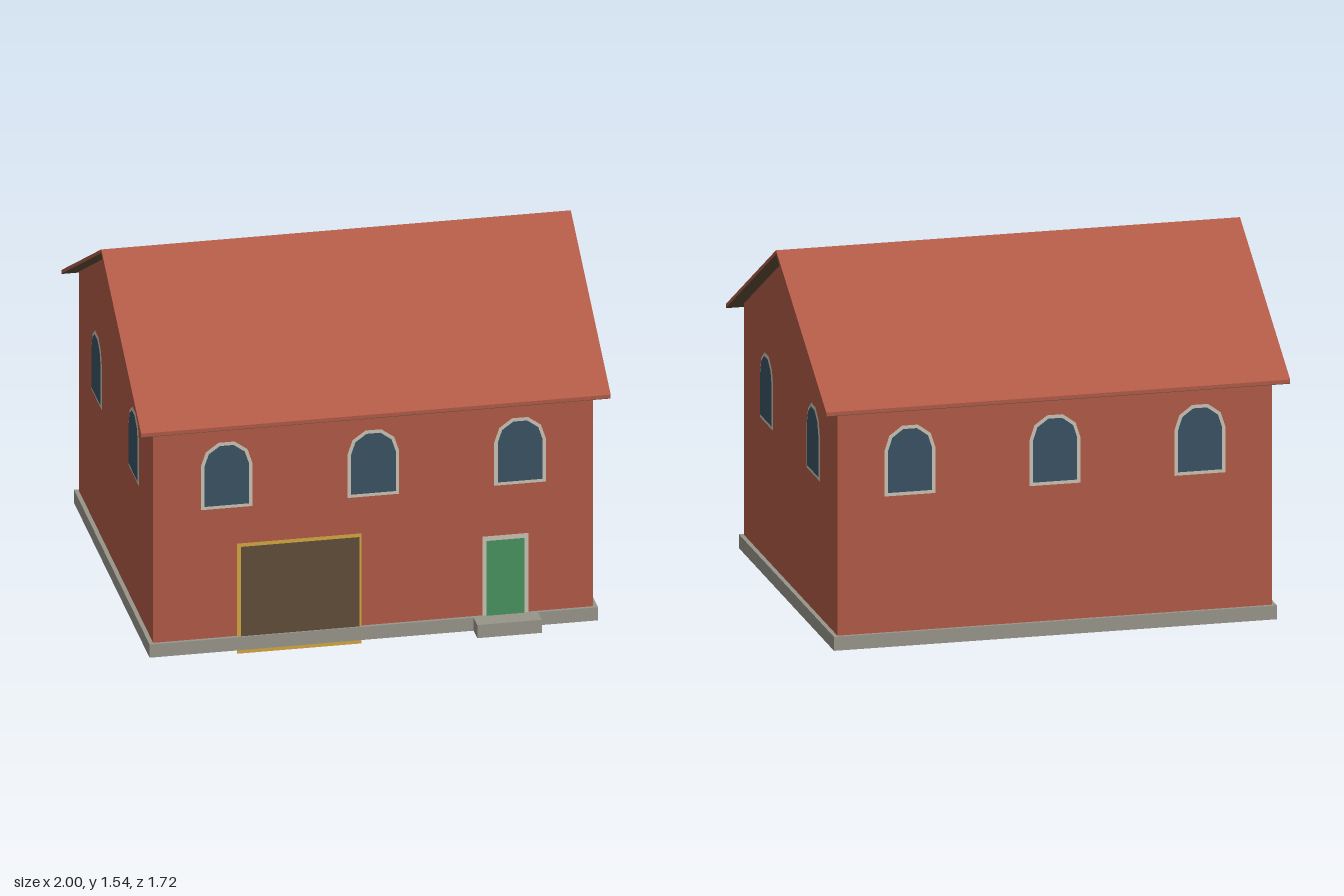
import * as THREE from 'three';

const mat = (name, color, side = THREE.FrontSide) => {
  const m = new THREE.MeshStandardMaterial({ color, side });
  m.name = name;
  return m;
};

export function createModel() {
  const red = mat('brick red', 0xb05a47);
  const brown = mat('dark brown', 0x604d38);
  const grey = mat('stone grey', 0x98948a, THREE.DoubleSide);
  const trim = mat('pale trim', 0xc8c2b2);
  const glass = mat('window glass', 0x395163);
  const gold = mat('golden frame', 0xd2a640, THREE.DoubleSide);
  const green = mat('door green', 0x48925f);

  const house = new THREE.Group();
  house.name = 'house';
  const Z0 = -0.0125; // centre line of the building under the ridge
  const HX = 0.937, HZ = 0.785; // half sizes of the walls

  const add = (name, geometry, material, parent = house) => {
    const m = new THREE.Mesh(geometry, material);
    m.name = name;
    parent.add(m);
    return m;
  };

  // Section given as [z, y] points, extruded along x
  const prism = (name, points, halfLength, material) => {
    const shape = new THREE.Shape(points.map(p => new THREE.Vector2(p[0], p[1])));
    const g = new THREE.ExtrudeGeometry(shape, { depth: 2 * halfLength, bevelEnabled: false });
    g.translate(0, 0, -halfLength).rotateY(-Math.PI / 2).translate(0, 0, Z0);
    return add(name, g, material);
  };

  // Box without its underside
  const openBox = (name, x0, x1, y0, y1, z0, z1) => {
    const g = new THREE.BoxGeometry(x1 - x0, y1 - y0, z1 - z0);
    const index = Array.from(g.index.array);
    index.splice(18, 6);
    g.setIndex(index);
    g.clearGroups();
    g.translate((x0 + x1) / 2, (y0 + y1) / 2, (z0 + z1) / 2);
    return add(name, g, grey);
  };

  // Walls with gables
  const eave = 0.843, apex = 1.523, low = 1.053;
  const wallTop = apex - (apex - low) * HZ / eave;
  prism('walls', [[-HZ, 0.081], [HZ, 0.081], [HZ, wallTop - 0.001], [0, apex - 0.001], [-HZ, wallTop - 0.001]], HX, red);

  // Roof slab and its dark lining
  const chevron = (a, b) => [[-eave, low + a], [0, apex + a], [eave, low + a], [eave, low + b], [0, apex + b], [-eave, low + b]];
  prism('roof', chevron(0.002, 0.018), 1, red);
  prism('roofLining', chevron(0, 0.002), 0.999, brown);

  // Plinth and door step
  openBox('plinth', -0.955, 0.955, 0.02, 0.08, Z0 - 0.798, Z0 + 0.798);
  openBox('doorStep', 0.425, 0.7, 0.02, 0.08, Z0 + 0.798, 0.863);

  // Flat panel in the plane of the front wall
  const panel = (name, x0, x1, y0, y1, lift, material) => {
    const g = new THREE.PlaneGeometry(x1 - x0, y1 - y0);
    g.translate((x0 + x1) / 2, (y0 + y1) / 2, Z0 + HZ + lift);
    return add(name, g, material);
  };
  panel('garageFrame', -0.58, -0.05, 0, 0.505, 0.003, gold);
  panel('garageDoor', -0.565, -0.06, 0.022, 0.49, 0.006, brown);
  panel('doorFrame', 0.465, 0.66, 0.08, 0.443, 0.003, trim);
  panel('door', 0.481, 0.643, 0.08, 0.423, 0.006, green);

  // Arched pane with a five-sided arch
  const arch = (r, bottom) => {
    const s = new THREE.Shape();
    s.moveTo(-r, bottom);
    s.lineTo(r, bottom);
    for (let i = 0; i <= 5; i++) {
      const a = i * Math.PI / 5;
      s.lineTo(r * Math.cos(a), 0.87 + r * Math.sin(a));
    }
    return new THREE.ShapeGeometry(s);
  };
  const trimGeo = arch(0.11, 0.672), glassGeo = arch(0.095, 0.687);

  // Windows on all four walls: turn, distance to wall, offsets along it
  const sides = [
    ['front', 0, HZ, [-0.625, 0, 0.625]],
    ['back', Math.PI, HZ, [-0.625, 0, 0.625]],
    ['left', Math.PI / 2, HX, [-0.392, 0.392]],
    ['right', -Math.PI / 2, HX, [-0.392, 0.392]],
  ];
  for (const [name, turn, dist, offsets] of sides) {
    const wall = new THREE.Group();
    wall.name = name + 'Windows';
    wall.rotation.y = turn;
    wall.position.z = Z0;
    for (const x of offsets) {
      add('windowFrame', trimGeo, trim, wall).position.set(x, 0, dist + 0.003);
      add('windowPane', glassGeo, glass, wall).position.set(x, 0, dist + 0.006);
    }
    house.add(wall);
  }
  return house;
}
